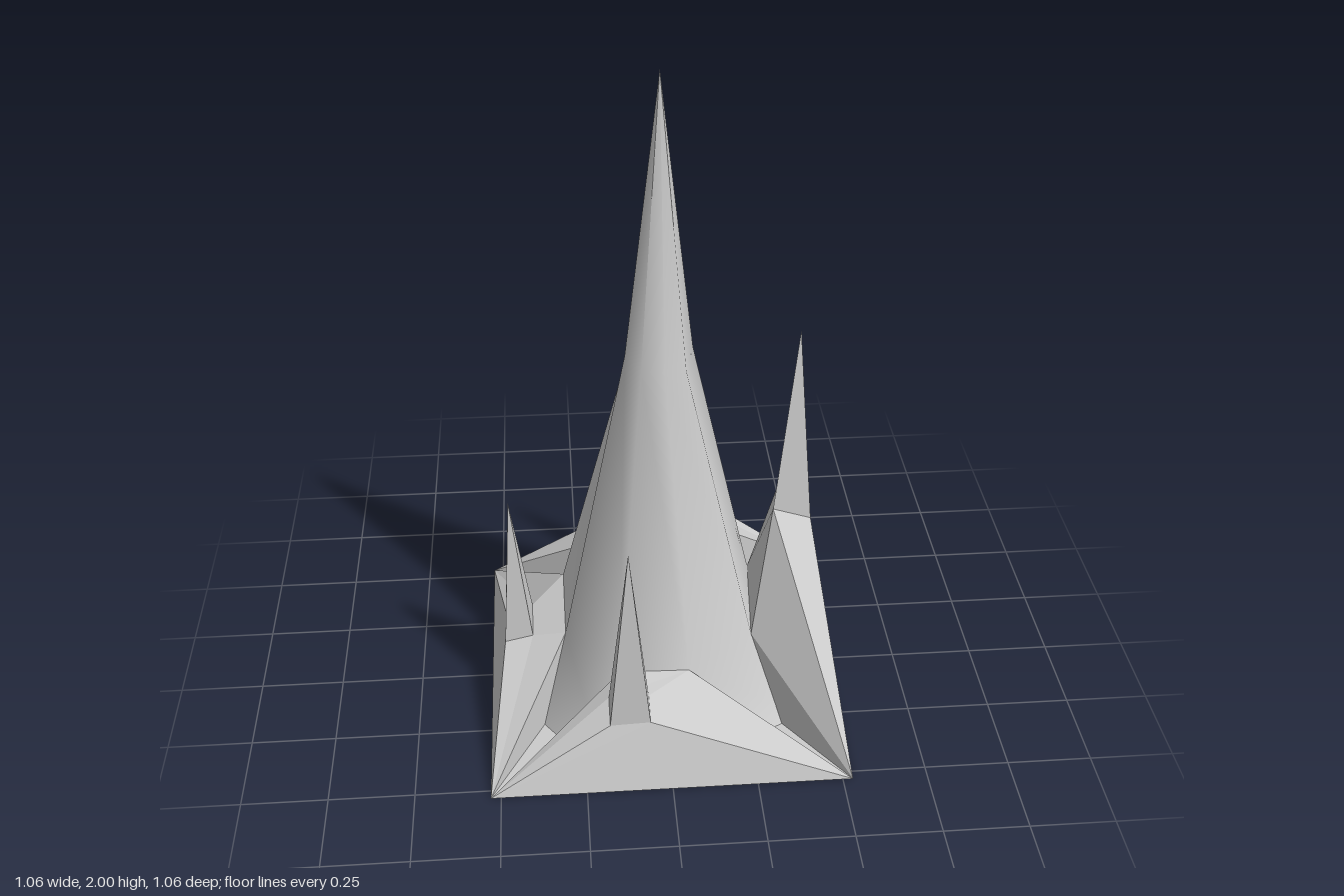
import * as THREE from 'three';

const grey = (opts = {}) => new THREE.MeshStandardMaterial({ color: 0xcccccc, ...opts });
const HALF = 0.53;

// Faceted mesh from polygons, each split as a fan
function faceted(name, polygons) {
  const pos = [];
  for (const p of polygons)
    for (let i = 1; i < p.length - 1; i++) pos.push(...p[0], ...p[i], ...p[i + 1]);
  const geo = new THREE.BufferGeometry();
  geo.setAttribute('position', new THREE.Float32BufferAttribute(pos, 3));
  geo.computeVertexNormals();
  const mesh = new THREE.Mesh(geo, grey({ flatShading: true }));
  mesh.name = name;
  return mesh;
}

// Smooth skin through rings of equal point count (lowest ring first)
function loft(name, rings) {
  const n = rings[0].length, index = [];
  for (let r = 0; r < rings.length - 1; r++)
    for (let i = 0; i < n; i++) {
      const a = r * n + i, b = r * n + (i + 1) % n;
      index.push(a, a + n, b + n, a, b + n, b);
    }
  const geo = new THREE.BufferGeometry();
  geo.setAttribute('position', new THREE.Float32BufferAttribute(rings.flat(2), 3));
  geo.setIndex(index);
  geo.computeVertexNormals();
  const mesh = new THREE.Mesh(geo, grey({ side: THREE.DoubleSide }));
  mesh.name = name;
  return mesh;
}

// One side of the base, running from ground corner a to b (left to right from outside):
// outer = outer spike foot, inner = inner spike foot, crest = edge against the spire
function buildSide({ name, a, b, outer, inner, crest, tip }) {
  const [A, B] = [a, b].map(([x, z]) => [x * HALF, 0, z * HALF]);
  const [oA, oB] = outer, [sA, sB] = inner, [nA, nB] = crest;
  const [gA, gB] = crest.map(([x, , z]) => [x, 0, z]);
  const group = new THREE.Group();
  group.name = name;
  group.add(
    faceted(name + 'Slope', [
      [A, B, oB, oA],
      [A, oA, sA, nA],
      [B, nB, sB, oB],
      [sA, sB, nB, nA],
    ]),
    faceted(name + 'InnerWall', [[A, nA, gA], [nA, nB, gB, gA], [B, gB, nB]]),
    faceted(name + 'Spike', [[oA, oB, tip], [oB, sB, tip], [sB, sA, tip], [sA, oA, tip]]),
  );
  return group;
}

const sides = [
  {
    name: 'frontRidge', a: [-1, 1], b: [1, 1],
    outer: [[-0.177, 0.19, 0.455], [-0.06, 0.195, 0.455]],
    inner: [[-0.177, 0.22, 0.37], [-0.06, 0.22, 0.37]],
    crest: [[-0.14, 0.245, 0.29], [0.065, 0.24, 0.29]],
    tip: [-0.117, 0.775, 0.413],
  },
  {
    name: 'leftRidge', a: [1, 1], b: [1, -1],
    outer: [[0.455, 0.57, 0.008], [0.455, 0.58, -0.085]],
    inner: [[0.338, 0.62, 0.023], [0.37, 0.6, -0.117]],
    crest: [[0.265, 0.26, 0.165], [0.285, 0.3, -0.115]],
    tip: [0.405, 1.2, -0.037],
  },
  {
    name: 'backRidge', a: [1, -1], b: [-1, -1],
    outer: [[0.115, 0.395, -0.41], [0.01, 0.39, -0.403]],
    inner: [[0.113, 0.385, -0.352], [0.005, 0.38, -0.372]],
    crest: [[0.14, 0.375, -0.264], [-0.027, 0.33, -0.3]],
    tip: [0.055, 0.89, -0.385],
  },
  {
    name: 'rightRidge', a: [-1, -1], b: [-1, 1],
    outer: [[-0.48, 0.195, -0.075], [-0.48, 0.195, 0.07]],
    inner: [[-0.395, 0.215, -0.077], [-0.395, 0.215, 0.07]],
    crest: [[-0.295, 0.245, -0.185], [-0.295, 0.245, 0.1]],
    tip: [-0.45, 0.67, 0.005],
  },
];

export function createModel() {
  const model = new THREE.Group();
  model.name = 'spiredRock';

  // Square ground slab
  const floor = new THREE.Mesh(
    new THREE.PlaneGeometry(HALF * 2, HALF * 2).rotateX(-Math.PI / 2),
    grey({ side: THREE.DoubleSide }),
  );
  floor.name = 'floor';
  model.add(floor);

  // Four ridges, each with a thin spike
  for (const side of sides) model.add(buildSide(side));

  // Central spire: foot flaring onto the floor, crest ring, waist, tip
  const [front, left, back, right] = sides.map((s) => s.crest);
  const crest = [left[0], front[1], front[0], right[1], right[0], back[1], back[0], left[1]];
  const foot = [
    [0.42, 0.25], [0.1, 0.42], [-0.19, 0.48], [-0.44, 0.14],
    [-0.45, -0.29], [-0.05, -0.39], [0.22, -0.42], [0.43, -0.165],
  ].map(([x, z]) => [x, 0, z]);
  const waist = [
    [0.065, 0.112], [0.005, 0.118], [-0.06, 0.11], [-0.1, 0.02],
    [-0.065, -0.115], [0, -0.118], [0.058, -0.11], [0.095, -0.015],
  ].map(([x, z]) => [x, 1.17, z]);
  const tip = waist.map(([x, , z]) => [x * 0.002, 2, z * 0.002]);
  model.add(loft('centralSpire', [foot, crest, waist, tip]));

  return model;
}
